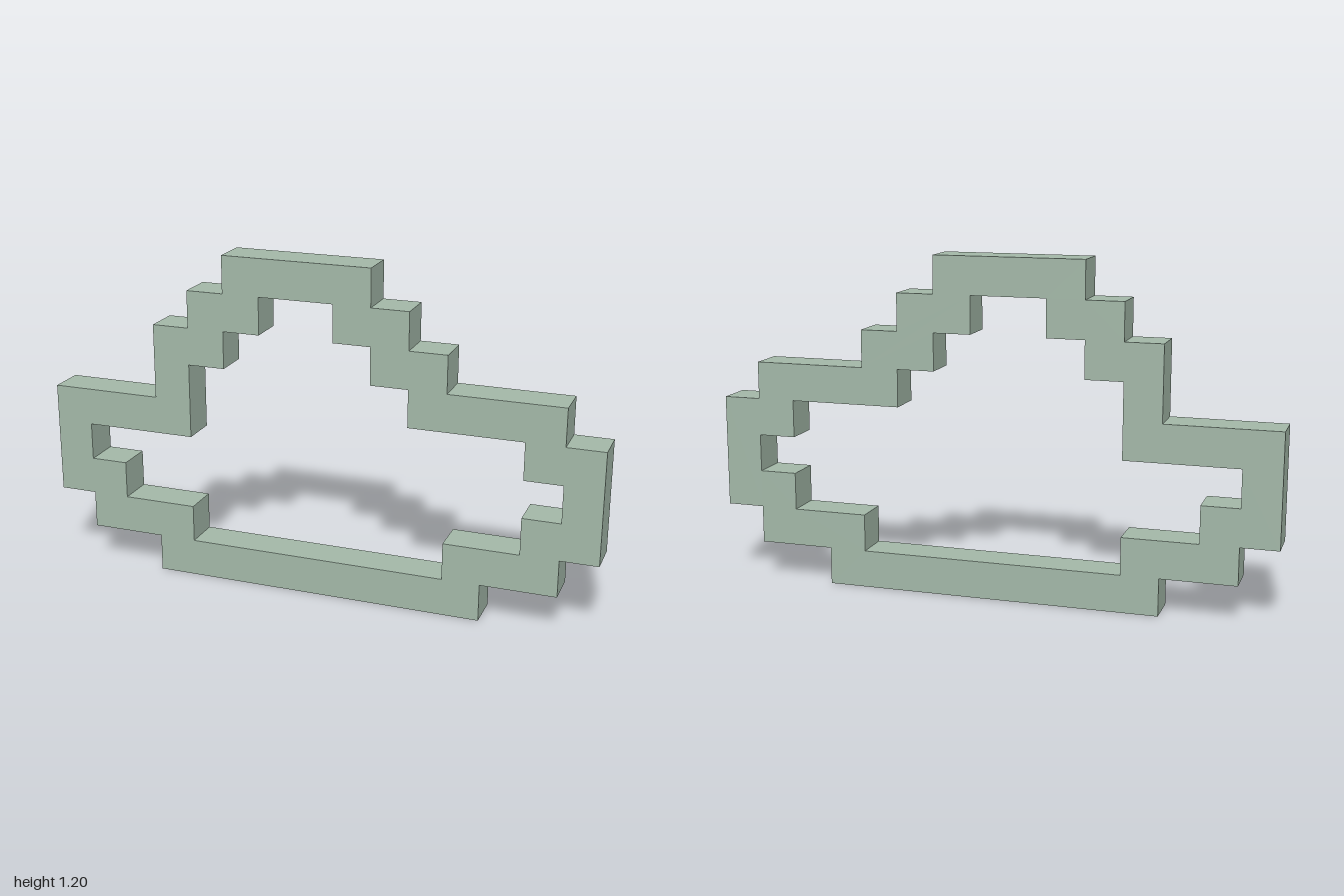
import * as THREE from 'three';

const UNIT = 2 / 15; // one square of the stepped outline

// Corners in whole squares, measured from the lower left
const OUTER = [
  [3, 0], [12, 0], [12, 1], [14, 1], [14, 2], [15, 2], [15, 5], [14, 5], [14, 6],
  [11, 6], [11, 7], [10, 7], [10, 8], [9, 8], [9, 9], [5, 9], [5, 8], [4, 8],
  [4, 7], [3, 7], [3, 5], [0, 5], [0, 2], [1, 2], [1, 1], [3, 1],
];
const INNER = [
  [4, 1], [11, 1], [11, 2], [13, 2], [13, 3], [14, 3], [14, 4], [13, 4], [13, 5],
  [10, 5], [10, 6], [9, 6], [9, 7], [8, 7], [8, 8], [6, 8], [6, 7], [5, 7],
  [5, 6], [4, 6], [4, 4], [1, 4], [1, 3], [2, 3], [2, 2], [4, 2],
];

const toPoints = (cells) => cells.map(([i, j]) => new THREE.Vector2(i * UNIT - 1, j * UNIT));

export function createModel() {
  const group = new THREE.Group();
  group.name = 'cloud';

  const sage = new THREE.MeshStandardMaterial({ color: 0xa3b8a8 });
  sage.name = 'sage green';

  // Stepped cloud frame, one square thick, open in the middle
  const shape = new THREE.Shape(toPoints(OUTER));
  shape.holes.push(new THREE.Path(toPoints(INNER).reverse()));
  const geometry = new THREE.ExtrudeGeometry(shape, { depth: UNIT, bevelEnabled: false });
  geometry.translate(0, 0, -UNIT / 2);

  const outline = new THREE.Mesh(geometry, sage);
  outline.name = 'cloudOutline';
  group.add(outline);
  return group;
}
